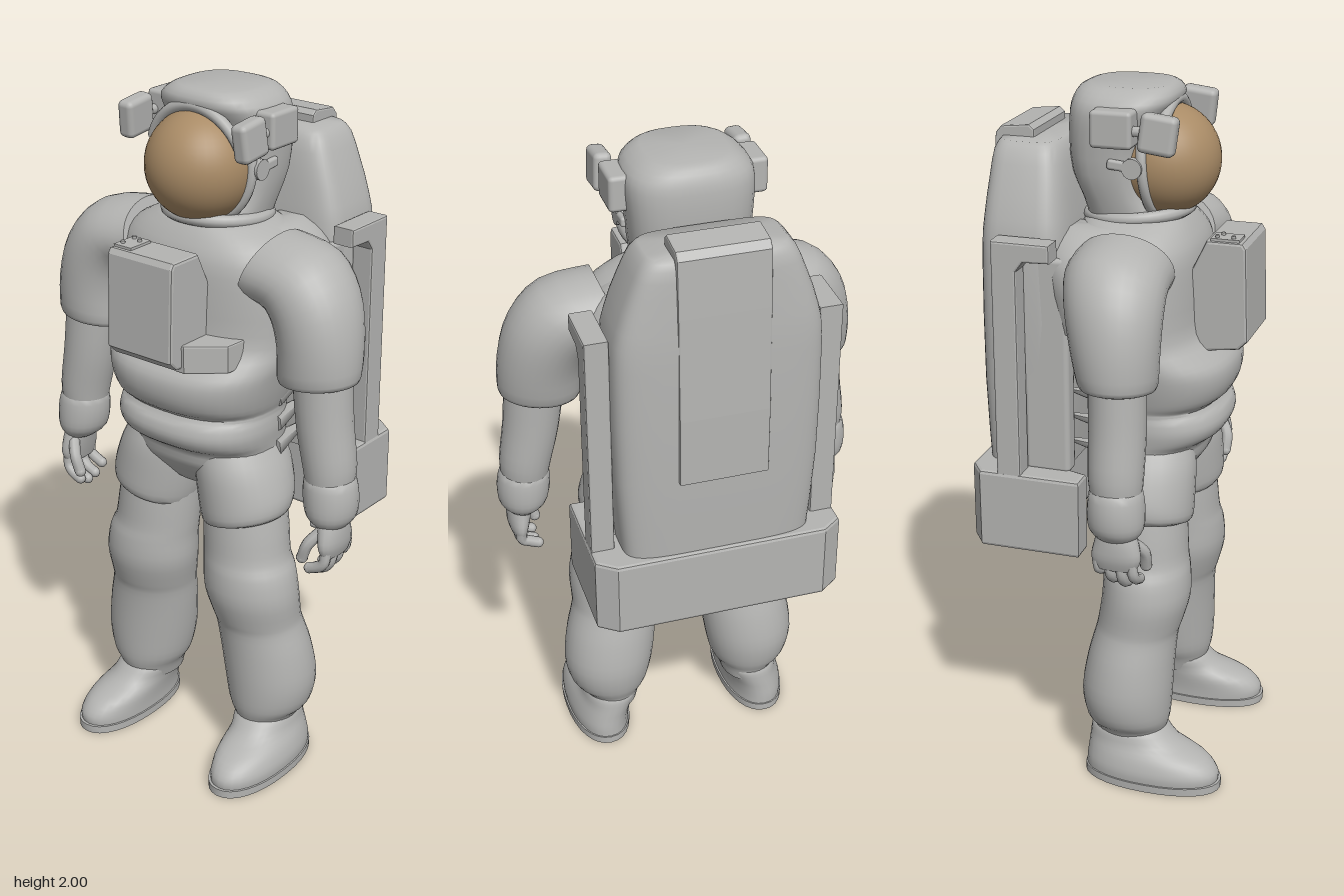
import * as THREE from 'three';
import { toCreasedNormals } from 'three/addons/utils/BufferGeometryUtils.js';
import { RoundedBoxGeometry } from 'three/addons/geometries/RoundedBoxGeometry.js';

const suit = new THREE.MeshStandardMaterial({ name: 'suit grey', color: 0xb4b4b2 });
const gold = new THREE.MeshStandardMaterial({ name: 'visor gold', color: 0xa98b66 });

function add(parent, name, geo, pos = [0, 0, 0], rot = [0, 0, 0], mat = suit) {
  const m = new THREE.Mesh(geo, mat);
  m.name = name;
  m.position.set(...pos);
  m.rotation.set(...rot);
  parent.add(m);
}

// Smooth interpolation between four rows of numbers
const spline = (p, q, r, s, t) => q.map((_, k) => {
  const m0 = (r[k] - p[k]) / 2, m1 = (s[k] - q[k]) / 2, d = r[k] - q[k];
  return q[k] + t * (m0 + t * (3 * d - 2 * m0 - m1 + t * (m0 + m1 - 2 * d)));
});

// Skin over rings listed bottom to top: [x, y, zBack, zFront, halfWidth, tilt (0 if left out)]
function loft(rows, { power = 2, sides = 32, steps = 3 } = {}) {
  const full = rows.map(([x, y, z0, z1, a, tilt = 0]) => [x, y, z0, z1, a, tilt]);
  const at = i => full[Math.min(Math.max(i, 0), full.length - 1)];
  const rings = [];
  for (let i = 0; i < full.length - 1; i++) {
    for (let s = 0; s < steps; s++) rings.push(spline(at(i - 1), at(i), at(i + 1), at(i + 2), s / steps));
  }
  rings.push(at(full.length - 1));
  const pos = [], idx = [];
  const pw = v => Math.sign(v) * Math.abs(v) ** (2 / power);
  for (const [x, y, z0, z1, a, tilt] of rings) {
    for (let i = 0; i < sides; i++) {
      const th = (i / sides) * Math.PI * 2, u = a * pw(Math.cos(th));
      pos.push(x + u * Math.cos(tilt), y + u * Math.sin(tilt), (z0 + z1) / 2 + (z1 - z0) / 2 * pw(Math.sin(th)));
    }
  }
  const n = rings.length, last = (n - 1) * sides;
  for (let j = 0; j < n - 1; j++) {
    for (let i = 0; i < sides; i++) {
      const a = j * sides + i, c = j * sides + (i + 1) % sides;
      idx.push(a, a + sides, c, c, a + sides, c + sides);
    }
  }
  for (const r of [rings[0], rings[n - 1]]) pos.push(r[0], r[1], (r[2] + r[3]) / 2);
  for (let i = 0; i < sides; i++) {
    const k = (i + 1) % sides;
    idx.push(n * sides, i, k, n * sides + 1, last + k, last + i);
  }
  const g = new THREE.BufferGeometry();
  g.setAttribute('position', new THREE.Float32BufferAttribute(pos, 3));
  g.setIndex(idx);
  return toCreasedNormals(g, 0.9);
}

const shapeOf = pts => new THREE.Shape(pts.map(p => new THREE.Vector2(...p)));
const bevel = b => ({ bevelEnabled: true, bevelSize: b, bevelThickness: b, bevelOffset: -b, bevelSegments: 2 });

// Side profile of (z, y) points, extruded across x
function sideSlab(pts, x0, x1, b) {
  const g = new THREE.ExtrudeGeometry(shapeOf(pts), { depth: x1 - x0 - 2 * b, ...bevel(b) });
  return g.rotateY(-Math.PI / 2).translate(x1 - b, 0, 0);
}
// Plan outline of (x, z) points, extruded between two heights
function planSlab(pts, y0, y1, b) {
  const g = new THREE.ExtrudeGeometry(shapeOf(pts), { depth: y1 - y0 - 2 * b, ...bevel(b) });
  return g.rotateX(Math.PI / 2).translate(0, y1 - b, 0);
}

function tube(pts, r) {
  const curve = new THREE.CatmullRomCurve3(pts.map(p => new THREE.Vector3(...p)));
  return new THREE.TubeGeometry(curve, 10, r, 8);
}

// One arm, leg and set of side fittings, on the +x side
function buildSide(side) {
  add(side, 'sleeve', loft([
    [0.395, 1.27, 0.005, 0.185, 0.105, 0.1], [0.396, 1.285, -0.012, 0.2, 0.117, 0.1],
    [0.392, 1.38, -0.035, 0.205, 0.118, 0.18], [0.365, 1.47, -0.06, 0.205, 0.12, 0.45],
    [0.305, 1.53, -0.08, 0.2, 0.118, 0.8], [0.2, 1.54, -0.09, 0.19, 0.11, 1.2]]));
  add(side, 'forearm', loft([
    [0.45, 0.98, 0.04, 0.175, 0.066], [0.447, 1.04, 0.03, 0.18, 0.074, 0.1],
    [0.425, 1.16, 0.025, 0.18, 0.08, 0.15], [0.41, 1.3, 0.02, 0.175, 0.085, 0.1]], { sides: 24 }));
  add(side, 'gloveCuff', loft([
    [0.465, 0.87, 0.06, 0.165, 0.04], [0.46, 0.9, 0.035, 0.185, 0.068], [0.456, 0.95, 0.03, 0.187, 0.077],
    [0.452, 1.0, 0.035, 0.18, 0.073], [0.45, 1.02, 0.05, 0.165, 0.06]], { sides: 24 }));
  add(side, 'palm', loft([
    [0.478, 0.785, 0.055, 0.17, 0.02], [0.478, 0.82, 0.045, 0.185, 0.03],
    [0.472, 0.87, 0.055, 0.175, 0.036], [0.465, 0.91, 0.06, 0.16, 0.036]], { sides: 20 }));
  for (let i = 0; i < 4; i++) {
    const z = 0.063 + i * 0.032, drop = [0.03, 0.008, 0, 0.012][i];
    const tip = [0.43, 0.728 + drop, z + 0.006];
    add(side, 'finger', tube([[0.48, 0.81, z], [0.477, 0.765 + drop / 2, z + 0.004], [0.458, 0.74 + drop, z + 0.006], tip], 0.016));
    add(side, 'fingertip', new THREE.SphereGeometry(0.016, 10, 8), tip);
  }
  add(side, 'thumb', tube([[0.46, 0.86, 0.155], [0.432, 0.82, 0.18], [0.415, 0.775, 0.18]], 0.017));
  add(side, 'thumbTip', new THREE.SphereGeometry(0.017, 10, 8), [0.415, 0.775, 0.18]);

  add(side, 'shorts', loft([
    [0.165, 0.795, 0.0, 0.215, 0.118, 0.22], [0.165, 0.81, -0.02, 0.235, 0.13, 0.22],
    [0.155, 0.87, -0.045, 0.238, 0.137, 0.1], [0.135, 0.96, -0.06, 0.235, 0.13], [0.12, 1.02, -0.05, 0.22, 0.11]]));
  add(side, 'leg', loft([
    [0.225, 0.12, -0.03, 0.17, 0.08], [0.225, 0.16, -0.035, 0.185, 0.093], [0.23, 0.2, -0.052, 0.195, 0.12],
    [0.229, 0.28, -0.063, 0.2, 0.137], [0.216, 0.38, -0.05, 0.203, 0.138], [0.202, 0.455, -0.032, 0.208, 0.132],
    [0.196, 0.49, -0.025, 0.218, 0.133], [0.188, 0.57, -0.015, 0.238, 0.143], [0.18, 0.645, -0.012, 0.235, 0.138],
    [0.168, 0.69, -0.01, 0.226, 0.13], [0.16, 0.77, -0.015, 0.22, 0.127], [0.15, 0.87, -0.02, 0.21, 0.12]]));
  add(side, 'boot', loft([
    [0.257, 0.022, -0.046, 0.352, 0.092], [0.257, 0.05, -0.045, 0.35, 0.093], [0.25, 0.085, -0.042, 0.315, 0.09],
    [0.238, 0.12, -0.04, 0.23, 0.084], [0.228, 0.155, -0.036, 0.19, 0.085], [0.226, 0.175, -0.02, 0.17, 0.07]], { power: 2.2 }));
  add(side, 'sole', loft([[0.257, 0, -0.05, 0.36, 0.096], [0.257, 0.024, -0.05, 0.36, 0.097]], { power: 2.2, steps: 1 }));

  // Lamp fittings on the helmet
  add(side, 'lampMount', new RoundedBoxGeometry(0.075, 0.1, 0.115, 2, 0.012), [0.178, 1.908, 0.013]);
  add(side, 'lamp', new RoundedBoxGeometry(0.05, 0.105, 0.1, 2, 0.016), [0.194, 1.902, 0.14], [0.12, 0, 0.06]);
  add(side, 'lampHinge', new THREE.CylinderGeometry(0.014, 0.014, 0.05, 10), [0.19, 1.905, 0.082], [Math.PI / 2, 0, 0]);
  add(side, 'visorPivot', new THREE.CylinderGeometry(0.028, 0.028, 0.02, 16), [0.166, 1.8, 0.06], [0, 0, Math.PI / 2]);
  add(side, 'visorLever', new RoundedBoxGeometry(0.018, 0.028, 0.08, 2, 0.008), [0.167, 1.805, 0.03], [0.1, 0, 0]);

  // Upright rail with a forward arm, and the yoke over the shoulder
  add(side, 'packRail', sideSlab([[-0.275, 0.94], [-0.275, 1.625], [-0.11, 1.625], [-0.11, 1.575],
    [-0.185, 1.572], [-0.205, 1.545], [-0.205, 0.94]], 0.285, 0.352, 0.006));
  add(side, 'packFlange', new RoundedBoxGeometry(0.06, 0.62, 0.13, 2, 0.015), [0.255, 1.26, -0.15]);
  add(side, 'shoulderYoke', loft([
    [0.2, 1.36, -0.14, 0.08, 0.1], [0.205, 1.52, -0.17, 0.08, 0.105],
    [0.17, 1.6, -0.17, 0.08, 0.09], [0.15, 1.635, -0.14, 0.05, 0.05]]));
  // Folds of cloth between waist and pack
  for (let i = 0; i < 4; i++) {
    add(side, 'waistFold', new THREE.ConeGeometry(0.035, 0.2, 6), [0.215, 1.02 + i * 0.075, -0.04], [-Math.PI / 2 + 0.12, 0, 0]);
  }
}

export function createModel() {
  const model = new THREE.Group();
  model.name = 'astronaut';
  for (const s of [1, -1]) {
    const side = new THREE.Group();
    side.name = s > 0 ? 'leftSide' : 'rightSide';
    side.scale.x = s;
    buildSide(side);
    model.add(side);
  }

  // Torso with its waist rolls
  add(model, 'torso', loft([
    [0, 0.88, -0.02, 0.17, 0.1], [0, 0.96, -0.07, 0.232, 0.225], [0, 1.01, -0.09, 0.245, 0.232], [0, 1.04, -0.1, 0.285, 0.236],
    [0, 1.075, -0.1, 0.3, 0.24], [0, 1.11, -0.1, 0.29, 0.238], [0, 1.13, -0.1, 0.272, 0.236], [0, 1.155, -0.11, 0.3, 0.245],
    [0, 1.2, -0.12, 0.316, 0.258], [0, 1.25, -0.12, 0.312, 0.27], [0, 1.29, -0.12, 0.275, 0.28], [0, 1.34, -0.12, 0.235, 0.285],
    [0, 1.46, -0.13, 0.225, 0.29], [0, 1.56, -0.13, 0.215, 0.28], [0, 1.615, -0.12, 0.19, 0.23], [0, 1.65, -0.1, 0.165, 0.15]],
    { power: 2.4, sides: 40 }));

  // Helmet
  add(model, 'neckRing', new THREE.TorusGeometry(0.14, 0.018, 10, 40), [0, 1.652, 0.03], [Math.PI / 2 - 0.08, 0, 0]);
  add(model, 'helmetShell', loft([
    [0, 1.64, -0.1, 0.14, 0.135], [0, 1.7, -0.115, 0.1, 0.148], [0, 1.77, -0.142, 0.085, 0.162], [0, 1.86, -0.15, 0.09, 0.17],
    [0, 1.93, -0.148, 0.125, 0.175], [0, 1.965, -0.14, 0.145, 0.165], [0, 1.99, -0.125, 0.135, 0.135], [0, 2.0, -0.1, 0.12, 0.11]],
    { power: 2.7, steps: 2 }));
  add(model, 'visor', new THREE.SphereGeometry(0.153, 40, 28), [0, 1.795, 0.102], [0, 0, 0], gold);
  add(model, 'visorFrame', new THREE.TorusGeometry(0.156, 0.014, 10, 48), [0, 1.797, 0.082], [-0.08, 0, 0]);
  add(model, 'visorBrim', new THREE.TorusGeometry(0.158, 0.016, 10, 32, Math.PI * 0.8), [0, 1.8, 0.115], [0.1, 0, Math.PI * 0.1]);

  // Chest control box with its side shelf
  add(model, 'chestBox', sideSlab([[0.2, 1.285], [0.345, 1.305], [0.37, 1.33], [0.36, 1.59],
    [0.35, 1.605], [0.25, 1.605], [0.2, 1.5]], -0.112, 0.112, 0.008));
  add(model, 'chestShelf', planSlab([[0.09, 0.1], [0.09, 0.325], [0.12, 0.325], [0.21, 0.25], [0.22, 0.1]], 1.29, 1.37, 0.005));
  add(model, 'controlPanel', new THREE.BoxGeometry(0.06, 0.008, 0.08), [-0.075, 1.608, 0.3]);
  for (const [x, z] of [[-0.09, 0.275], [-0.09, 0.32], [-0.062, 0.285]]) {
    add(model, 'switch', new THREE.CylinderGeometry(0.006, 0.006, 0.012, 8), [x, 1.613, z]);
  }

  // Backpack
  add(model, 'packBody', loft([
    [0, 0.93, -0.35, -0.12, 0.265], [0, 1.2, -0.357, -0.1, 0.285], [0, 1.55, -0.355, -0.1, 0.287], [0, 1.66, -0.35, -0.108, 0.272],
    [0, 1.76, -0.342, -0.122, 0.238], [0, 1.83, -0.335, -0.138, 0.208], [0, 1.855, -0.32, -0.155, 0.185]],
    { power: 5, sides: 48, steps: 2 }));
  add(model, 'packHatch', sideSlab([[-0.23, 1.8], [-0.23, 1.875], [-0.245, 1.888], [-0.325, 1.88], [-0.342, 1.86],
    [-0.352, 1.7], [-0.364, 1.4], [-0.364, 1.2], [-0.3, 1.2]], -0.125, 0.125, 0.005));
  add(model, 'packBase', planSlab([[-0.3, -0.365], [0.3, -0.365], [0.355, -0.325], [0.355, -0.035], [0.285, -0.035],
    [0.25, -0.14], [-0.25, -0.14], [-0.285, -0.035], [-0.355, -0.035], [-0.355, -0.325]], 0.73, 0.96, 0.01));
  return model;
}
